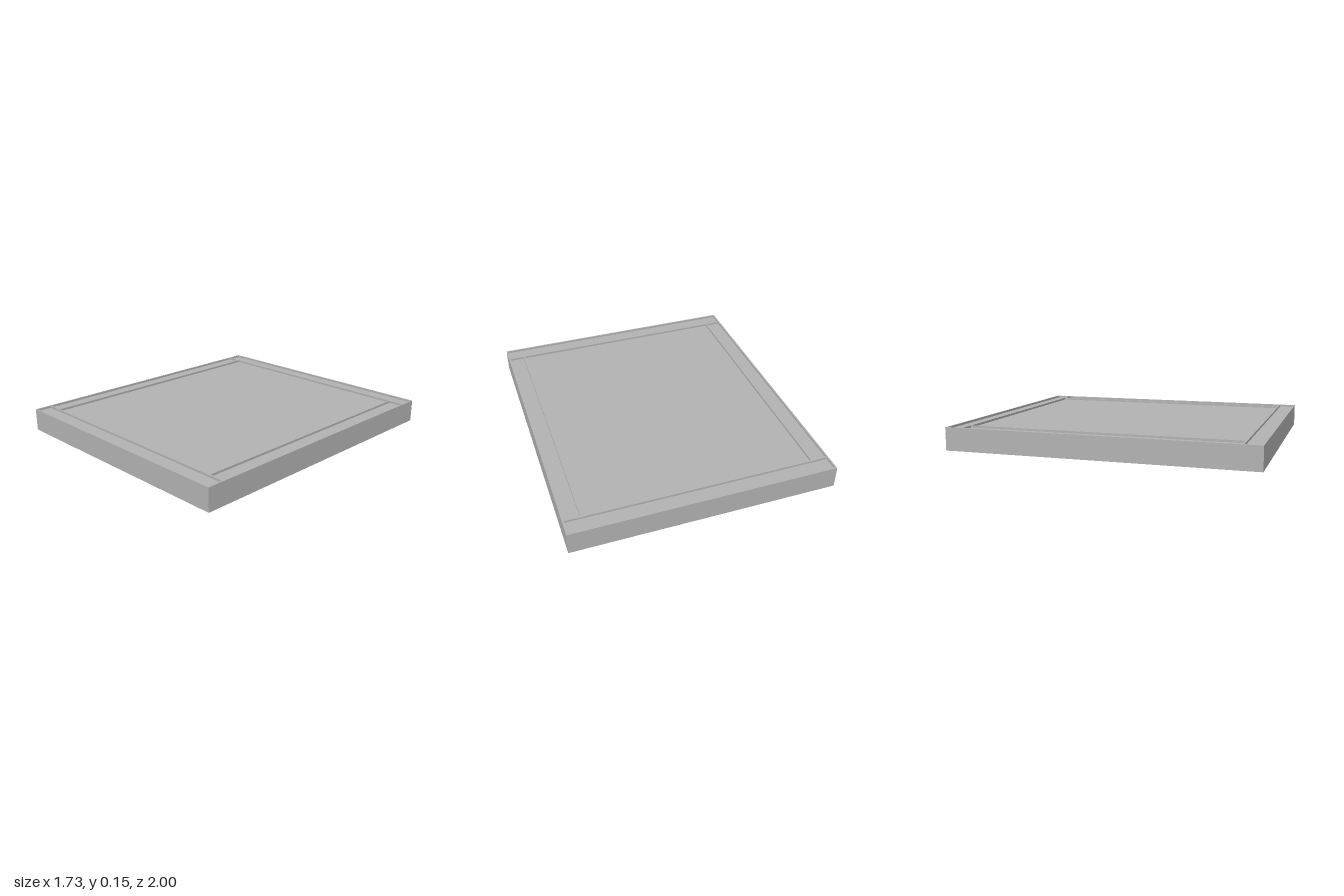
import * as THREE from 'three';

export function createModel() {
  const model = new THREE.Group();
  model.name = 'framedPanel';
  const grey = new THREE.MeshStandardMaterial({ color: 0xb2b2b2 });
  grey.name = 'plain grey';

  const W = 0.865, D = 1;         // outer half sizes
  const IW = 0.745, ID = 0.88;    // half sizes of the opening
  const FLOOR = 0.136, TOP = 0.15, LIP = 0.01;

  // box given by its limits on each axis
  function box(name, x0, x1, y0, y1, z0, z1) {
    const mesh = new THREE.Mesh(new THREE.BoxGeometry(x1 - x0, y1 - y0, z1 - z0), grey);
    mesh.position.set((x0 + x1) / 2, (y0 + y1) / 2, (z0 + z1) / 2);
    mesh.name = name;
    model.add(mesh);
  }
  // same box on the -x or -z side as well
  function pairX(name, x0, x1, y0, y1, z) {
    box(name + 'Left', x0, x1, y0, y1, -z, z);
    box(name + 'Right', -x1, -x0, y0, y1, -z, z);
  }
  function pairZ(name, x, y0, y1, z0, z1) {
    box(name + 'Front', -x, x, y0, y1, z0, z1);
    box(name + 'Back', -x, x, y0, y1, -z1, -z0);
  }

  // frame bars: full-width rails with stiles between them
  pairZ('rail', W, 0, FLOOR, ID, D);
  pairX('stile', IW, W, 0, FLOOR, ID);

  // thin raised lips on the outer and inner edges of the bars
  pairZ('outerLip', W, FLOOR, TOP, D - LIP, D);
  pairX('outerLip', W - LIP, W, FLOOR, TOP, D - LIP);
  pairZ('innerLip', W - LIP, FLOOR, TOP, ID, ID + LIP);
  pairX('innerLip', IW, IW + LIP, FLOOR, TOP, ID);

  // closing panel and the shallow stiffener beneath it
  box('panel', -IW, IW, 0.128, FLOOR, -ID, ID);
  box('stiffener', -0.03, 0.03, 0.103, 0.128, -0.81, 0.81);

  return model;
}
